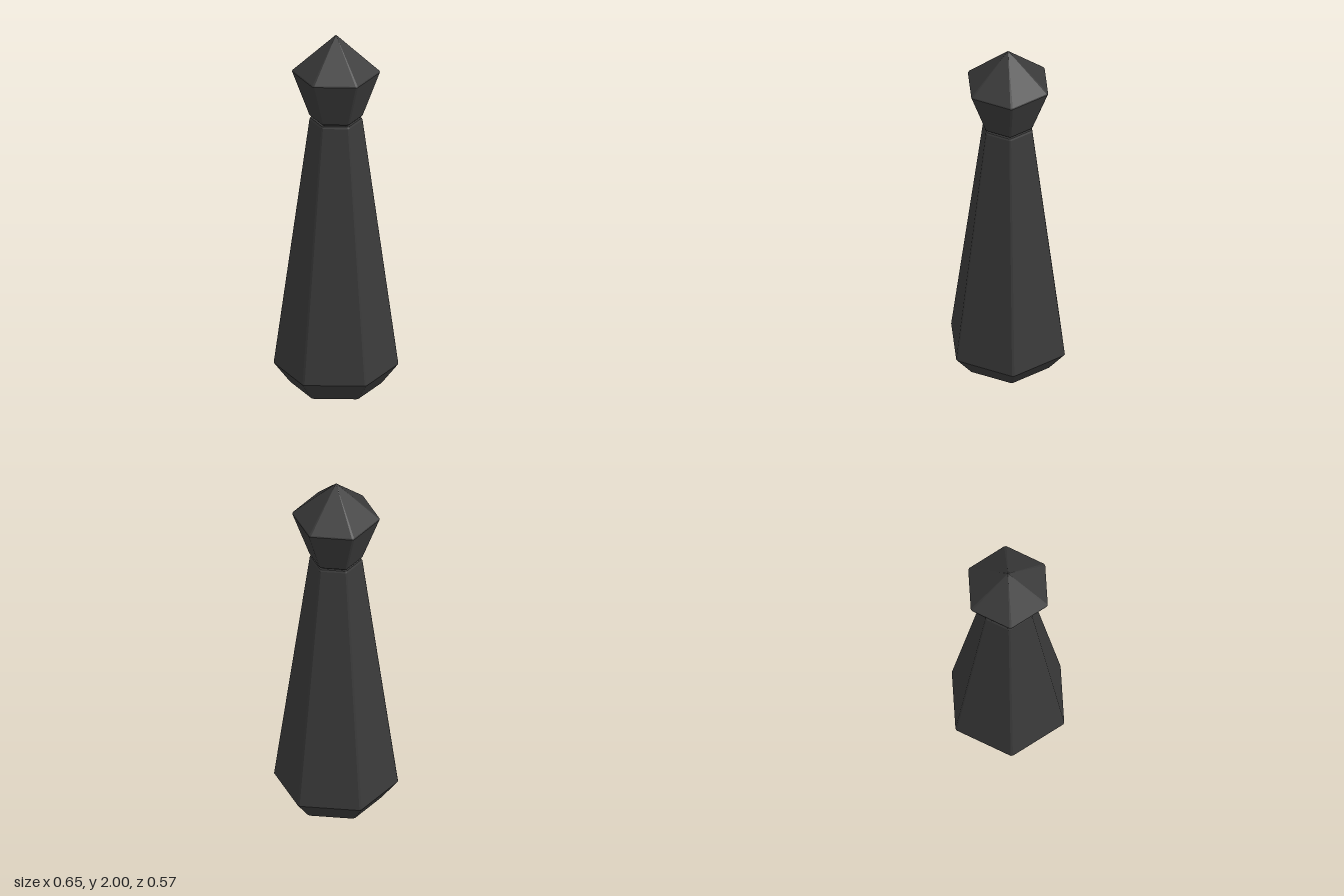
import * as THREE from 'three';

const stone = new THREE.MeshStandardMaterial({ color: 0x3a3a3a, flatShading: true });
stone.name = 'charcoal';

// Hexagon with slightly cut corners; corners point along +x and -x
function ring(apothem, y) {
  const R = apothem / Math.cos(Math.PI / 6);
  const corner = (i) => new THREE.Vector3(R * Math.cos(i * Math.PI / 3), y, -R * Math.sin(i * Math.PI / 3));
  const t = Math.min(0.04, 0.007 / Math.max(R, 0.001));
  const pts = [];
  for (let i = 0; i < 6; i++) {
    pts.push(corner(i).lerp(corner(i - 1), t), corner(i).lerp(corner(i + 1), t));
  }
  return pts;
}

// Faceted solid through a bottom-to-top profile of [apothem, y]
function hexSolid(name, profile) {
  const rings = profile.map(([a, y]) => ring(a, y));
  const pos = [];
  const tri = (...pts) => pts.forEach((p) => pos.push(p.x, p.y, p.z));
  for (let k = 0; k < rings.length - 1; k++) {
    const lo = rings[k], hi = rings[k + 1];
    for (let i = 0; i < 12; i++) {
      const j = (i + 1) % 12;
      tri(lo[i], lo[j], hi[j]);
      if (profile[k + 1][0] > 0) tri(lo[i], hi[j], hi[i]);
    }
  }
  // End caps
  const bottom = rings[0], top = rings[rings.length - 1];
  for (let i = 1; i < 11; i++) {
    tri(bottom[0], bottom[i + 1], bottom[i]);
    if (profile[profile.length - 1][0] > 0) tri(top[0], top[i], top[i + 1]);
  }
  const geo = new THREE.BufferGeometry();
  geo.setAttribute('position', new THREE.Float32BufferAttribute(pos, 3));
  geo.computeVertexNormals();
  const mesh = new THREE.Mesh(geo, stone);
  mesh.name = name;
  return mesh;
}

export function createModel() {
  const group = new THREE.Group();
  group.name = 'hexagonalPillar';
  group.add(
    // Tapered shaft with an undercut foot and a softened top rim
    hexSolid('shaft', [[0.206, 0], [0.21, 0.004], [0.284, 0.112], [0.122, 1.513], [0.117, 1.523]]),
    // Narrow groove between shaft and finial
    hexSolid('neck', [[0.105, 1.51], [0.105, 1.545]]),
    // Pointed finial
    hexSolid('finial', [[0.117, 1.534], [0.123, 1.541], [0.201, 1.788], [0.198, 1.794], [0, 2]]),
  );
  return group;
}
